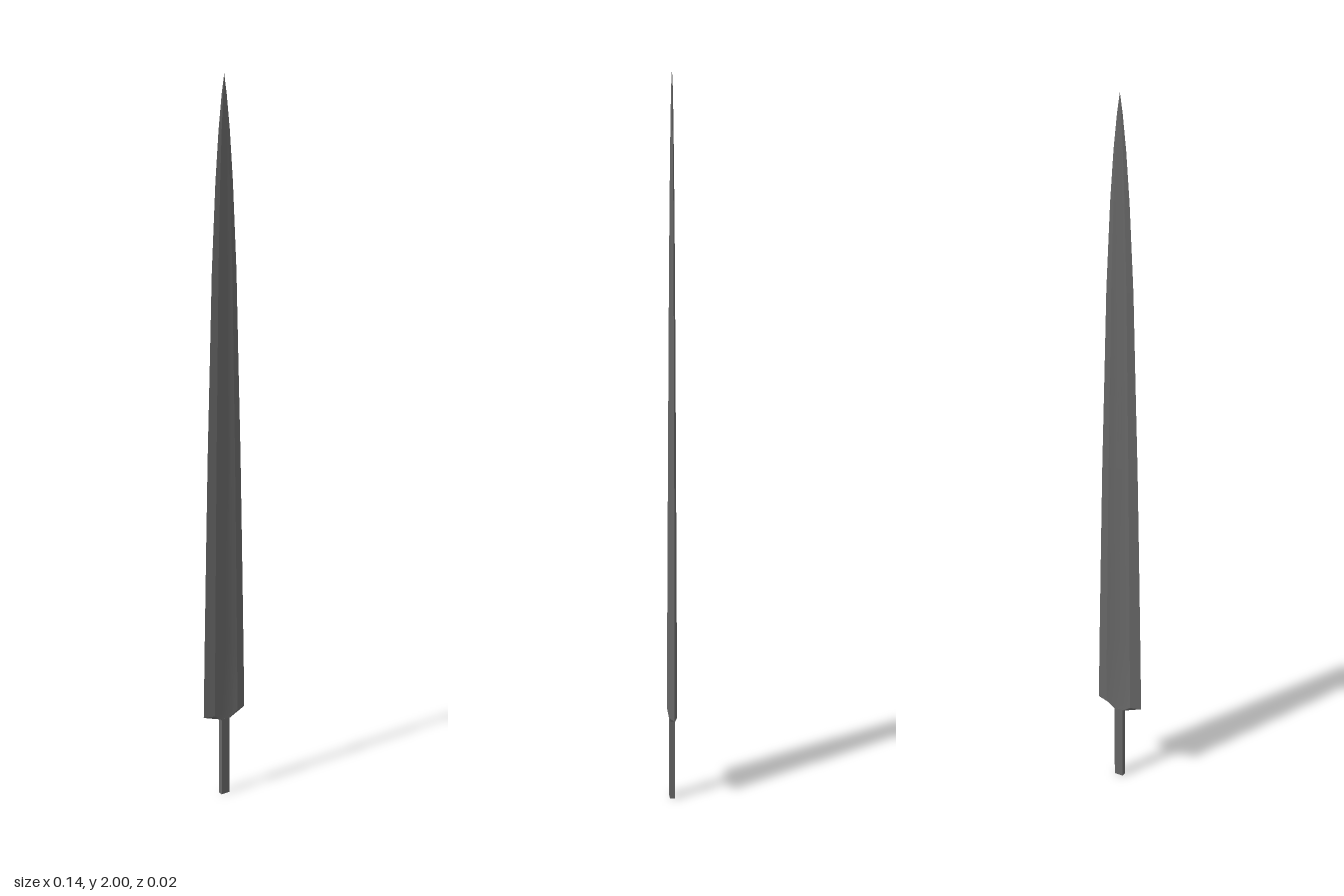
import * as THREE from 'three';
import { toCreasedNormals } from 'three/addons/utils/BufferGeometryUtils.js';

// Skin a list of rings (equal-length arrays of [x, y, z], counter-clockwise seen from below) from bottom to top
function loft(rings) {
  const n = rings[0].length;
  const index = [];
  for (let r = 0; r < rings.length - 1; r++) {
    for (let i = 0; i < n; i++) {
      const a = r * n + i, b = r * n + (i + 1) % n;
      index.push(a, a + n, b, b, a + n, b + n);
    }
  }
  const geometry = new THREE.BufferGeometry();
  geometry.setAttribute('position', new THREE.Float32BufferAttribute(rings.flat(2), 3));
  geometry.setIndex(index);
  return toCreasedNormals(geometry, 0.2);
}

// Close a quarter profile (edge to centre line) into a full mirrored section
function section(quarter, y) {
  const front = [...quarter, ...quarter.slice(0, -1).reverse().map(([x, z]) => [-x, z])];
  const back = front.slice(1, -1).reverse().map(([x, z]) => [x, -z]);
  return [...front, ...back].map(([x, z]) => [x, y, z]);
}

// Bevelled edge, ridge, then the hollow fuller; the fuller fades out near the tip
function bladeSection(y, w, t, depth) {
  return section([
    [w, 0], [w * 0.56, t], [w * 0.36, t * (1 - 0.5 * depth)],
    [w * 0.18, t * (1 - 0.75 * depth)], [0, t * (1 - 0.8 * depth)],
  ], y);
}

export function createModel() {
  const group = new THREE.Group();
  const steel = new THREE.MeshStandardMaterial({ color: 0x666666 });

  // Blade: height, half width, half thickness, fuller depth
  const stations = [
    [0.25, 0.071, 0.010, 0.6], [0.46, 0.067, 0.0095, 0.6], [0.74, 0.061, 0.0085, 0.6],
    [1.0, 0.055, 0.0075, 0.6], [1.26, 0.047, 0.0065, 0.6], [1.5, 0.040, 0.0055, 0.5],
    [1.73, 0.028, 0.004, 0.3], [1.86, 0.018, 0.003, 0.1], [1.95, 0.008, 0.002, 0],
    [2.0, 0.0002, 0.0002, 0],
  ];
  // Shoulder: the blade section draws in to the tang
  const neck = section([[0.0135, 0], [0.0135, 0.007], [0.009, 0.007], [0.005, 0.007], [0, 0.007]], 0.23);
  const blade = new THREE.Mesh(loft([neck, ...stations.map((s) => bladeSection(...s))]), steel);
  blade.name = 'blade';
  group.add(blade);

  // Tang: plain bar below the shoulder
  const tang = new THREE.Mesh(new THREE.BoxGeometry(0.027, 0.232, 0.014), steel);
  tang.position.y = 0.116;
  tang.name = 'tang';
  group.add(tang);
  return group;
}
